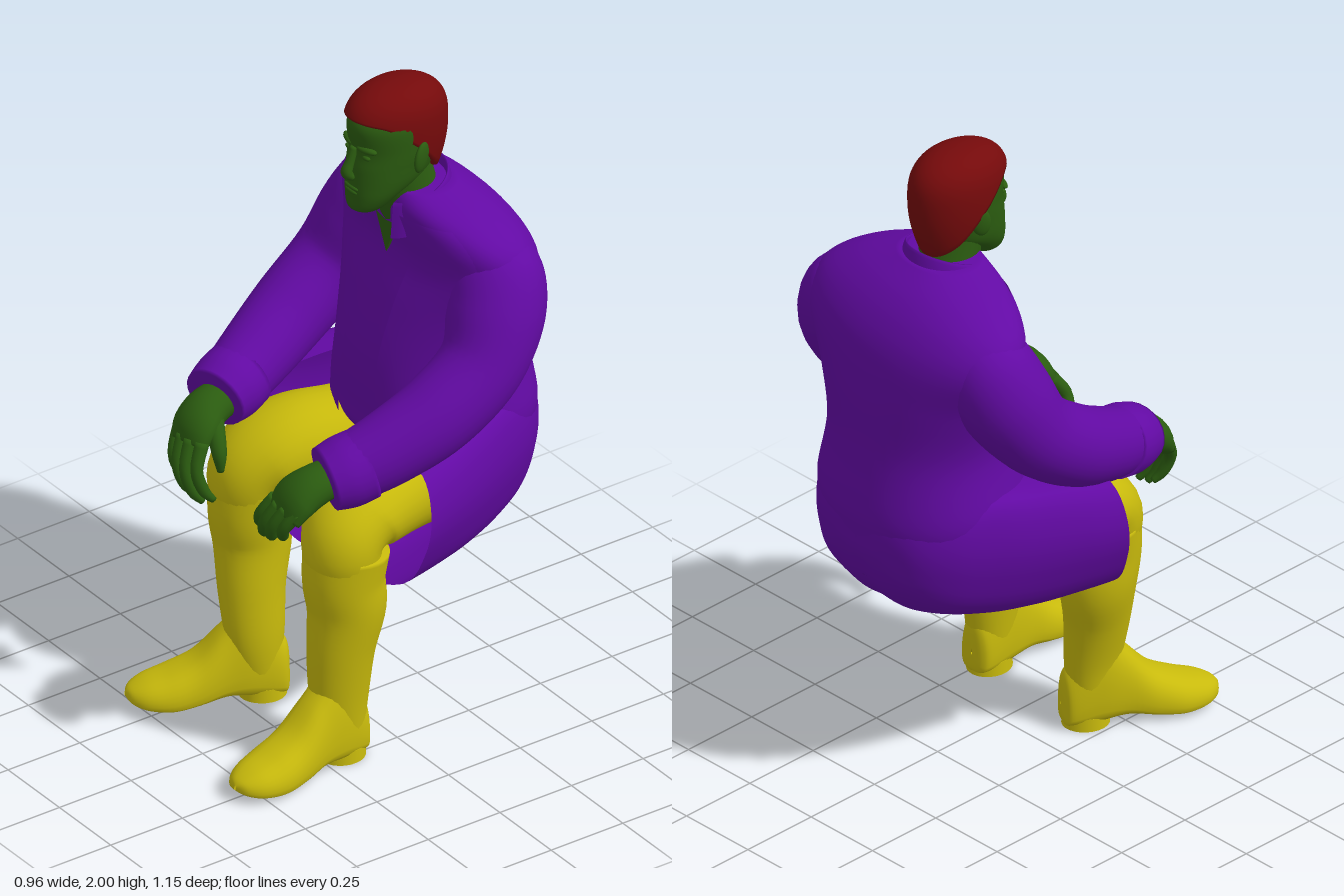
import * as THREE from 'three';

const mat = (color) => new THREE.MeshStandardMaterial({ color, side: THREE.DoubleSide });
const coat = mat(0x620aa4), cloth = mat(0xc8ba0c), skin = mat(0x2b5c10), hair = mat(0x750a0b);
const X = new THREE.Vector3(1, 0, 0);
const V = (x, y, z) => new THREE.Vector3(x, y, z);

// Smooth interpolation through rows of numbers, t from 0 to 1
function sample(rows, t) {
  const f = t * (rows.length - 1), i = Math.min(Math.floor(f), rows.length - 2), k = f - i;
  const r = (n) => rows[Math.max(0, Math.min(rows.length - 1, n))];
  const [p, a, b, q] = [r(i - 1), r(i), r(i + 1), r(i + 2)];
  return a.map((_, n) => {
    const m0 = (b[n] - p[n]) / 2, m1 = (q[n] - a[n]) / 2, d = b[n] - a[n];
    return a[n] + m0 * k + (3 * d - 2 * m0 - m1) * k * k + (m0 + m1 - 2 * d) * k ** 3;
  });
}

// Grid surface from f(u, v); v wraps round when closed
function surface(name, material, f, nu, nv, closed = false) {
  const pos = [], idx = [], cols = closed ? nv : nv + 1;
  for (let i = 0; i <= nu; i++)
    for (let j = 0; j < cols; j++) pos.push(...f(i / nu, j / nv, i));
  for (let i = 0; i < nu; i++)
    for (let j = 0; j < nv; j++) {
      const a = i * cols + j, b = i * cols + (j + 1) % cols;
      idx.push(a, b, a + cols, b, b + cols, a + cols);
    }
  const g = new THREE.BufferGeometry();
  g.setAttribute('position', new THREE.Float32BufferAttribute(pos, 3));
  g.setIndex(idx);
  g.computeVertexNormals();
  const m = new THREE.Mesh(g, material);
  m.name = name;
  return m;
}

// Capped tube along points [x, y, z, radius across, radius deep]
function limb(name, material, pts, steps = 6, sides = 20) {
  const n = (pts.length - 1) * steps, rows = pts.map((p) => [...p, p[3]].slice(0, 5));
  return surface(name, material, (u, v, i) => {
    const t = Math.max(0, Math.min(1, (i - 1) / n)), cap = i === 0 || i === n + 2 ? 0 : 1;
    const s = sample(rows, t), a = sample(rows, Math.max(0, t - 0.01)), b = sample(rows, Math.min(1, t + 0.01));
    const dir = V(b[0] - a[0], b[1] - a[1], b[2] - a[2]).normalize();
    const n1 = X.clone().addScaledVector(dir, -X.dot(dir)).normalize();
    const n2 = dir.clone().cross(n1), w = v * Math.PI * 2;
    return V(s[0], s[1], s[2]).addScaledVector(n1, Math.cos(w) * s[3] * cap)
      .addScaledVector(n2, Math.sin(w) * s[4] * cap).toArray();
  }, n + 2, sides, true);
}

// Point on an upright body with rows [y, front z, back z, half width]
function bodyPoint(rows, u, w, grow = 1, power = 2.2) {
  const [y, f, b, h] = sample(rows, u), c = Math.cos(w), s = Math.sin(w);
  const e = (q) => Math.sign(q) * Math.abs(q) ** (2 / power);
  return [e(c) * h * grow, y, (f + b) / 2 - e(s) * (f - b) / 2 * grow];
}
function body(name, material, rows, power) {
  const n = (rows.length - 1) * 6;
  return surface(name, material, (u, v, i) => bodyPoint(rows, Math.max(0, Math.min(1, (i - 1) / n)),
    v * Math.PI * 2, i === 0 || i === n + 2 ? 0 : 1, power), n + 2, 48, true);
}

function ball(name, material, p, r) {
  const m = new THREE.Mesh(new THREE.SphereGeometry(1, 20, 14), material);
  m.position.set(...p);
  m.scale.set(...r);
  m.name = name;
  return m;
}

const torsoRows = [[0.72, -0.3, -0.54, 0.2], [0.8, -0.17, -0.565, 0.27], [0.88, -0.055, -0.575, 0.3], [0.96, -0.045, -0.577, 0.31],
  [1.14, -0.055, -0.552, 0.285], [1.32, -0.1, -0.542, 0.325], [1.46, -0.145, -0.52, 0.385],
  [1.55, -0.14, -0.48, 0.365], [1.62, -0.13, -0.42, 0.265], [1.675, -0.14, -0.34, 0.12]];

function buildCoat(g) {
  g.add(body('coatBody', coat, torsoRows, 2.2));

  // Open front panels lying just over the chest
  for (const s of [-1, 1])
    g.add(surface('frontPanel', coat, (u, v) => {
      const w = -Math.PI / 2 + s * (0.24 + v * 0.9);
      return bodyPoint(torsoRows, 0.25 + u * 0.62, w, 1.05 - 0.06 * v);
    }, 30, 10));

  // Skirt: U-shaped sections from the open front hem to the seat [z, half width, bottom, top]
  const seat = [[0.03, 0.475, 0.53, 0.985], [-0.08, 0.445, 0.53, 1.0], [-0.2, 0.4, 0.53, 1.01], [-0.33, 0.345, 0.55, 1.02],
    [-0.45, 0.28, 0.6, 1.0], [-0.53, 0.2, 0.69, 0.96], [-0.568, 0.1, 0.8, 0.92], [-0.574, 0.005, 0.86, 0.88]];
  const side = [[0.55, 1], [0.88, 0.96], [1, 0.72], [0.97, 0.44], [0.8, 0.16], [0.33, 0]];
  const loop = [...side, [0, 0], ...side.map(([x, k]) => [-x, k]).reverse()];
  g.add(surface('coatSkirt', coat, (u, v) => {
    const [z, w, lo, hi] = sample(seat, u), [x, k] = sample(loop, v);
    return [x * w, lo + k * (hi - lo), z + (0.04 * (1 - k) + 0.035 * (1 - x * x) * (1 - k)) * (1 - u) ** 2];
  }, 42, 60));

  // Standing collar, open at the throat and leaning back from its front corners
  g.add(surface('collar', coat, (u, v) => {
    const a = 0.5 + v * (Math.PI * 2 - 1), c = Math.cos(a);
    const [r, k] = sample([[0.92, 0], [0.93, 1], [1.0, 0.97], [1.14, 0]], u);
    const lo = 1.585 - 0.06 * c, hi = 1.665 - 0.04 * c;
    return [Math.sin(a) * 0.122 * r, lo + k * (hi - lo), -0.22 + c * 0.112 * r];
  }, 9, 40));

  // Sleeves and turned-back cuffs
  for (const s of [-1, 1]) {
    const at = (rows) => rows.map(([x, ...r]) => [s * x, ...r]);
    g.add(limb('sleeve', coat, at([[0.22, 1.53, -0.34, 0.08], [0.265, 1.46, -0.33, 0.14, 0.13], [0.318, 1.35, -0.295, 0.145, 0.142],
      [0.357, 1.22, -0.215, 0.125], [0.353, 1.11, -0.07, 0.12], [0.32, 1.03, 0.08, 0.11], [0.285, 0.98, 0.2, 0.098]]), 6, 28));
    g.add(limb('cuff', coat, at([[0.3, 0.995, 0.15, 0.108, 0.105], [0.285, 0.978, 0.21, 0.11, 0.105],
      [0.27, 0.965, 0.265, 0.1, 0.092]]), 4, 24));
  }
}

// Thigh, boot shaft, foot and heel; s is the side
function buildLeg(g, s) {
  const knee = s > 0 ? 0.24 : 0.22, ankle = s > 0 ? 0.232 : 0.178;
  g.add(limb('thigh', cloth, [[s * 0.12, 0.77, -0.3, 0.15], [s * 0.15, 0.78, -0.1, 0.145], [s * 0.185, 0.785, 0.04, 0.15, 0.14],
    [s * 0.21, 0.765, 0.13, 0.147, 0.125], [s * knee, 0.71, 0.185, 0.122, 0.115], [s * knee, 0.62, 0.175, 0.105, 0.11]], 6, 28));
  g.add(limb('bootShaft', cloth, [[s * ankle, 0.06, 0.18, 0.06, 0.065], [s * ankle, 0.2, 0.19, 0.073, 0.09],
    [s * (ankle + knee) / 2, 0.36, 0.187, 0.09, 0.103], [s * knee, 0.5, 0.17, 0.107, 0.118],
    [s * knee, 0.6, 0.18, 0.114, 0.122], [s * knee, 0.69, 0.17, 0.122, 0.126]], 5, 28));

  const foot = new THREE.Group();
  foot.name = 'foot';
  // Foot sections [z, half width, top, sole]
  const rows = [[-0.088, 0.002, 0.09, 0.07], [-0.083, 0.035, 0.16, 0.015], [-0.06, 0.056, 0.2, 0.01], [0.02, 0.07, 0.31, 0.012],
    [0.1, 0.076, 0.24, 0.022], [0.18, 0.087, 0.155, 0.012], [0.26, 0.092, 0.112, 0.005], [0.33, 0.076, 0.088, 0.012],
    [0.372, 0.043, 0.067, 0.025], [0.387, 0.003, 0.05, 0.038]];
  foot.add(surface('bootFoot', cloth, (u, v) => {
    const [z, w, hi, lo] = sample(rows, u), a = v * Math.PI * 2, c = Math.cos(a), q = Math.sin(a);
    // full width sits low, with a flat sole
    const mid = lo + (hi - lo) * 0.3;
    return [Math.sign(c) * Math.abs(c) ** 0.8 * w, q > 0 ? mid + q * (hi - mid) : mid - Math.abs(q) ** 0.5 * (mid - lo), z];
  }, 45, 28, true));
  const heel = new THREE.Mesh(new THREE.CylinderGeometry(0.062, 0.064, 0.04, 24), cloth);
  heel.scale.z = 1.1;
  heel.position.set(0, 0.02, -0.012);
  heel.name = 'heel';
  foot.add(heel);
  foot.position.set(s * ankle, 0, s > 0 ? 0.19 : 0.178);
  foot.rotation.y = s > 0 ? 0.08 : -0.42;
  g.add(foot);
}

// Hand resting over the knee; the right one hangs lower
function buildHand(g, s) {
  const drop = s > 0 ? 0.1 : 0.155, inward = s > 0 ? 0.07 : 0.05;
  g.add(limb('palm', skin, [[s * 0.268, 0.965, 0.23, 0.06, 0.055], [s * 0.258, 0.95, 0.3, 0.068, 0.058],
    [s * 0.243, 0.918, 0.35, 0.078, 0.05], [s * 0.235, 0.875, 0.382, 0.072, 0.03]], 5, 20));
  for (let i = 0; i < 4; i++) {
    const x = 0.29 - i * 0.037, z = 0.378 + (i === 1 || i === 2 ? 0.018 : 0.005), d = drop * [0.8, 0.95, 1, 0.88][i];
    g.add(limb('finger', skin, [[s * x, 0.9, z - 0.01, 0.021], [s * (x - inward * 0.35), 0.885 - d * 0.42, z + 0.022, 0.019],
      [s * (x - inward * 0.7), 0.875 - d * 0.8, z + 0.01, 0.017], [s * (x - inward), 0.87 - d, z - 0.015, 0.01]], 4, 10));
  }
  g.add(limb('thumb', skin, [[s * 0.22, 0.945, 0.305, 0.03], [s * 0.175, 0.905, 0.325, 0.026],
    [s * 0.148, 0.86, 0.335, 0.021], [s * 0.142, 0.81, 0.335, 0.01]], 4, 12));
}

function buildHead(g) {
  g.add(limb('neck', skin, [[0, 1.46, -0.26, 0.08], [0, 1.58, -0.225, 0.09], [0, 1.68, -0.2, 0.087, 0.09], [0, 1.74, -0.19, 0.085]], 4, 24));
  // Bare throat in the open shirt
  const v = new THREE.Shape([[-0.07, 0.16], [0, 0], [0.07, 0.16]].map((p) => new THREE.Vector2(...p)));
  const throat = new THREE.Mesh(new THREE.ExtrudeGeometry(v, { depth: 0.05, bevelEnabled: false }), skin);
  throat.position.set(0, 1.445, -0.19);
  throat.name = 'throat';
  g.add(throat);

  g.add(body('head', skin, [[1.62, -0.04, -0.09, 0.03], [1.635, -0.016, -0.13, 0.052], [1.675, -0.014, -0.18, 0.077],
    [1.72, -0.016, -0.26, 0.094], [1.77, -0.02, -0.3, 0.102], [1.82, -0.028, -0.32, 0.107],
    [1.9, -0.024, -0.32, 0.106], [1.95, -0.06, -0.29, 0.08]], 2.1));
  g.add(limb('nose', skin, [[0, 1.835, -0.03, 0.012], [0, 1.79, -0.014, 0.014], [0, 1.758, -0.002, 0.019, 0.017], [0, 1.738, -0.018, 0.018, 0.012]], 4, 12));
  g.add(ball('upperLip', skin, [0, 1.706, -0.019], [0.032, 0.007, 0.009]));
  g.add(ball('lowerLip', skin, [0, 1.692, -0.019], [0.028, 0.008, 0.009]));
  for (const s of [-1, 1]) {
    const brow = ball('brow', skin, [s * 0.042, 1.838, -0.042], [0.036, 0.011, 0.014]);
    brow.rotation.y = s * 0.3;
    const ear = ball('ear', skin, [s * 0.11, 1.797, -0.185], [0.013, 0.048, 0.03]);
    ear.rotation.set(-0.2, s * 0.35, 0);
    g.add(brow, ear, ball('eye', skin, [s * 0.04, 1.812, -0.042], [0.017, 0.008, 0.01]));
  }

  // Short hair: a cap whose lower edge falls from brow to nape, swept up in front
  const line = [[1.925], [1.92], [1.9], [1.825], [1.74], [1.7], [1.69]];
  g.add(surface('hair', hair, (u, v) => {
    const a = v * Math.PI * 2, turn = 1 - Math.abs(1 - 2 * v), [low] = sample(line, turn);
    const t = Math.min(1, u / 0.92), k = t * Math.PI / 2;
    const y = low + (2 - low) * (t < 1 ? Math.cos(k) : 0);
    const r = y > 1.86 ? (1 - ((y - 1.86) / 0.14) ** 2.9) ** (1 / 2.3) : 1 - 0.25 * ((1.86 - y) / 0.17) ** 2;
    const tuck = u > 0.93 ? 0.87 : 1;
    const sweep = Math.max(0, Math.cos(a)) * 0.012 * Math.sin(k);
    return [-0.007 + Math.sin(a) * 0.116 * r * tuck, y, -0.182 + Math.cos(a) * 0.16 * r * tuck + sweep * tuck];
  }, 24, 48, true));
}

export function createModel() {
  const g = new THREE.Group();
  g.name = 'seatedMan';
  buildCoat(g);
  g.add(ball('trouserSeat', cloth, [0, 0.76, -0.13], [0.2, 0.13, 0.15]));
  for (const s of [-1, 1]) {
    buildLeg(g, s);
    buildHand(g, s);
  }
  buildHead(g);
  return g;
}
